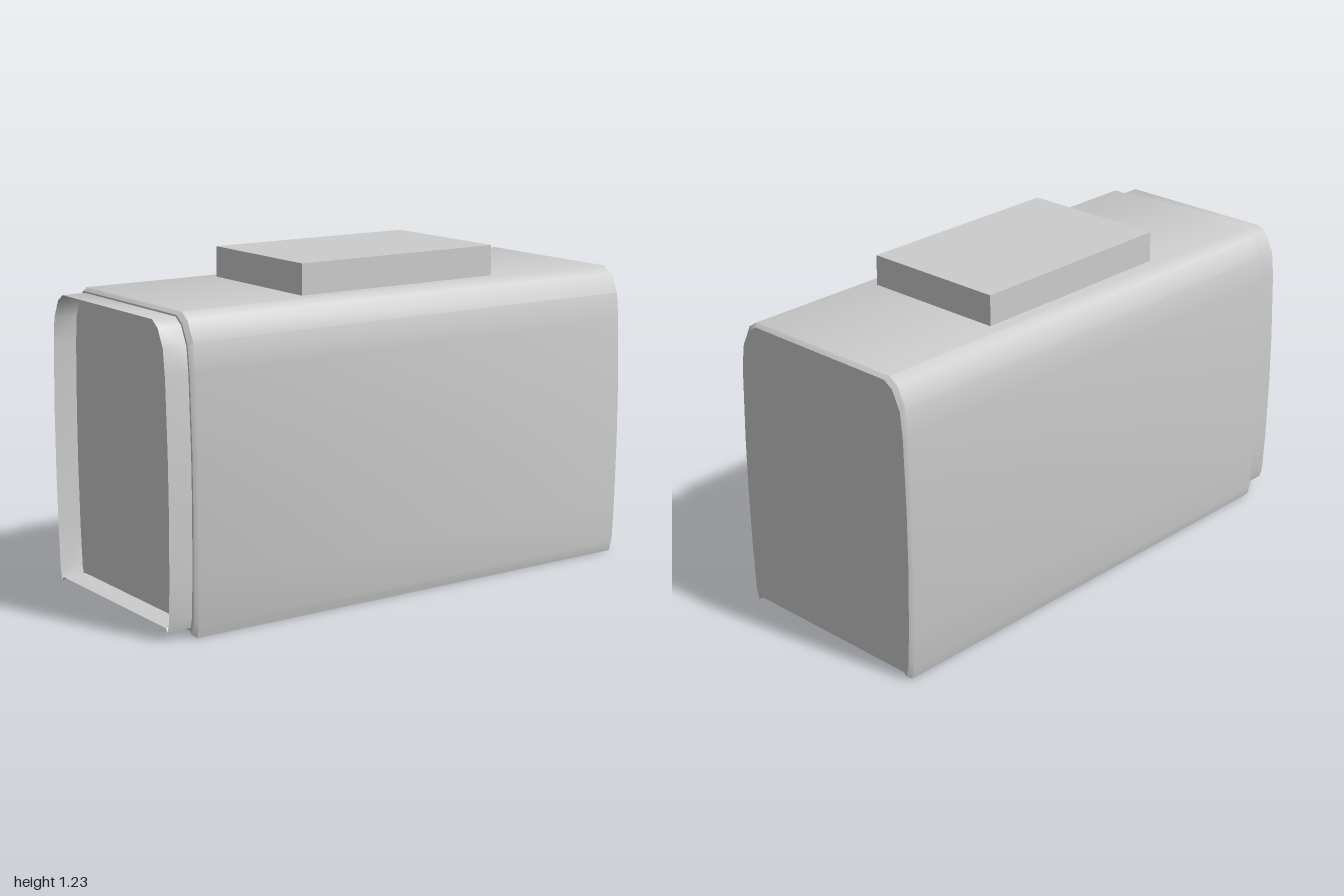
import * as THREE from 'three';
import { toCreasedNormals } from 'three/addons/utils/BufferGeometryUtils.js';

// Right half of the cross-section, from the floor up to the roof
const half = [
  [0.385, 0.013], [0.398, 0], [0.408, 0.04], [0.416, 0.2], [0.421, 0.45], [0.42, 0.65],
  [0.411, 0.92], [0.4, 1.02], [0.366, 1.09], [0.328, 1.115],
];
const outline = [...half, ...half.map(([x, y]) => [-x, y]).reverse()];

// Outline scaled about the centre of the section
const scaled = (sx, sy, cy) => outline.map(([x, y]) => [x * sx, cy + (y - cy) * sy]);

// Skin joining cross-sections given as { pts, z } from back to front
function loft(sections, crease) {
  const pos = [], index = [], n = outline.length;
  for (const { pts, z } of sections) for (const [x, y] of pts) pos.push(x, y, z);
  for (let s = 0; s < sections.length - 1; s++) {
    for (let i = 0; i < n; i++) {
      const a = s * n + i, b = s * n + (i + 1) % n;
      index.push(a, b, b + n, a, b + n, a + n);
    }
  }
  const g = new THREE.BufferGeometry();
  g.setAttribute('position', new THREE.Float32BufferAttribute(pos, 3));
  g.setIndex(index);
  return toCreasedNormals(g, crease);
}

// Flat end plate
const plate = (pts) => new THREE.ShapeGeometry(new THREE.Shape(pts.map(([x, y]) => new THREE.Vector2(x, y))));

export function createModel() {
  const model = new THREE.Group();
  const grey = new THREE.MeshStandardMaterial({ color: 0xcccccc, side: THREE.DoubleSide });
  grey.name = 'light grey';
  const add = (name, geometry) => {
    const mesh = new THREE.Mesh(geometry, grey);
    mesh.name = name;
    model.add(mesh);
    return mesh;
  };

  // Body with a small bevel at both ends
  const full = scaled(1, 1, 0.55), inset = scaled(0.972, 0.98, 0.55);
  add('body', loft([
    { pts: inset, z: -1 }, { pts: full, z: -0.985 },
    { pts: full, z: 0.895 }, { pts: inset, z: 0.91 },
  ], 0.7));

  const back = add('backPanel', plate(inset));
  back.rotation.y = Math.PI;
  back.position.z = -1;
  add('frontPanel', plate(inset)).position.z = 0.91;

  // Open rim standing out around the front panel
  const rim = outline.map(([x, y]) => [x * 0.953, 0.035 + y * 0.953]);
  add('frontRim', loft([{ pts: rim, z: 0.91 }, { pts: rim, z: 1 }], 0.7));

  // Raised block on the roof
  add('roofBlock', new THREE.BoxGeometry(0.56, 0.117, 0.845)).position.set(0, 1.1695, -0.0425);

  return model;
}
